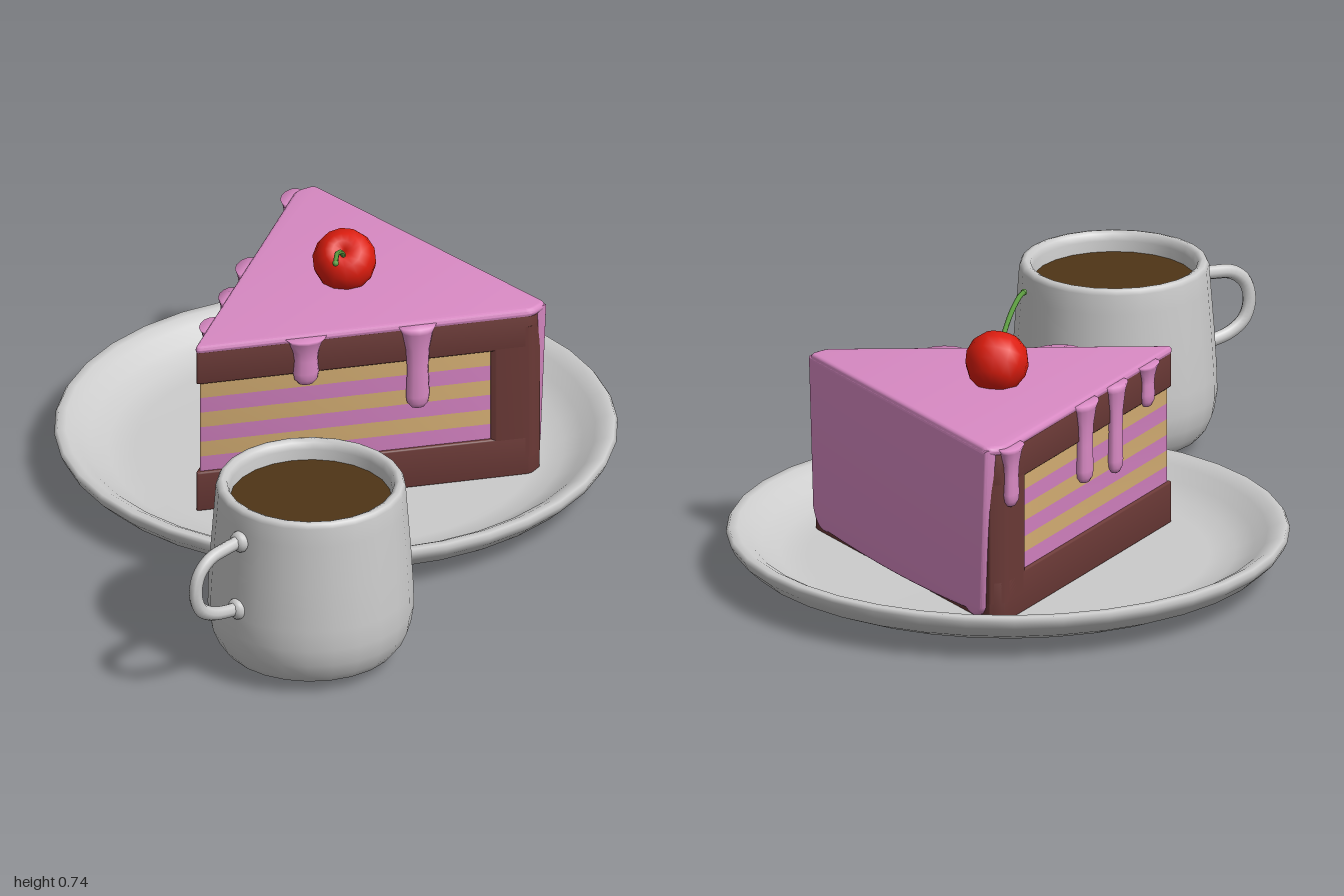
import * as THREE from 'three';
import { toCreasedNormals } from 'three/addons/utils/BufferGeometryUtils.js';

const paint = (color) => new THREE.MeshStandardMaterial({ color });
const china = paint(0xcccccc), icing = paint(0xd98ac4), chocolate = paint(0x6a3936);
const sponge = paint(0xd2ac72), cream = paint(0xcf7fbd), red = paint(0xdd1c0e);
const green = paint(0x5c9c40), coffee = paint(0x4f3517);

const CX = -0.128;      // centre line of the cake
const SLOPE = 0.575;    // half width gained per unit of depth
const TIP = 0.287;      // z of the cake's point

function add(parent, name, geometry, material, x = 0, y = 0, z = 0) {
  const mesh = new THREE.Mesh(geometry, material);
  mesh.name = name;
  mesh.position.set(x, y, z);
  parent.add(mesh);
  return mesh;
}

const lathe = (points, sides) =>
  new THREE.LatheGeometry(points.map(([r, y]) => new THREE.Vector2(r, y)), sides);

const curve = (points) =>
  new THREE.CatmullRomCurve3(points.map((p) => new THREE.Vector3(...p)));

// Closed outline with each corner rounded by distance r
function roundedShape(points, r) {
  const shape = new THREE.Shape();
  const pts = points.map(([x, z]) => new THREE.Vector2(x, -z));
  pts.forEach((p, i) => {
    const prev = pts[(i + pts.length - 1) % pts.length], next = pts[(i + 1) % pts.length];
    const a = p.clone().add(prev.clone().sub(p).setLength(r));
    const b = p.clone().add(next.clone().sub(p).setLength(r));
    if (i === 0) shape.moveTo(a.x, a.y); else shape.lineTo(a.x, a.y);
    shape.quadraticCurveTo(p.x, p.y, b.x, b.y);
  });
  shape.closePath();
  return shape;
}

// Flat slab with outline points (x, z), standing between y0 and y1
function slab(points, y0, y1, r, bevel) {
  const geometry = new THREE.ExtrudeGeometry(roundedShape(points, r), {
    depth: y1 - y0 - 2 * bevel, bevelEnabled: bevel > 0, bevelThickness: bevel,
    bevelSize: bevel, bevelOffset: -bevel, bevelSegments: 3, curveSegments: 5,
  });
  geometry.rotateX(-Math.PI / 2).translate(CX, y0 + bevel, 0);
  return toCreasedNormals(geometry, 0.7);
}

// Cake outline, from the tip to the back
function wedge(tip, back, chamfer = 0) {
  const half = (tip - back - chamfer) * SLOPE;
  if (!chamfer) return [[0, tip], [half, back], [-half, back]];
  return [[0, tip], [half, back + chamfer], [half - 0.012, back],
    [-half + 0.012, back], [-half, back + chamfer]];
}

function makePlate(group) {
  const profile = [[0, 0], [0.46, 0.002], [0.56, 0.012], [0.65, 0.032], [0.72, 0.062],
    [0.755, 0.095], [0.766, 0.118], [0.758, 0.13], [0.735, 0.129], [0.705, 0.113],
    [0.67, 0.085], [0.62, 0.06], [0.55, 0.048], [0, 0.045]];
  add(group, 'plate', lathe(profile, 36), china, -0.125, 0, -0.235);
}

function makeCake(group) {
  const cake = new THREE.Group();
  cake.name = 'cake';
  group.add(cake);

  // Chocolate base, lid and back crust
  add(cake, 'chocolateBase', slab(wedge(TIP, -0.575, 0.05), 0.045, 0.165, 0.015, 0.006), chocolate);
  add(cake, 'chocolateLid', slab(wedge(TIP, -0.575, 0.05), 0.435, 0.54, 0.015, 0.006), chocolate);
  const h1 = (TIP + 0.432) * SLOPE, h2 = (TIP + 0.525) * SLOPE;
  const crust = [[h1, -0.432], [h2, -0.525], [h2 - 0.012, -0.575],
    [-h2 + 0.012, -0.575], [-h2, -0.525], [-h1, -0.432]];
  add(cake, 'chocolateBack', slab(crust, 0.1, 0.5, 0.012, 0), chocolate);

  // Alternating cream and sponge layers
  for (let i = 0; i < 6; i++) {
    const y = 0.165 + i * 0.045;
    add(cake, i % 2 ? 'spongeLayer' : 'creamLayer',
      slab(wedge(TIP - 0.016, -0.44), y, y + 0.045, 0.008, 0), i % 2 ? sponge : cream);
  }

  // Icing over the top and down the back
  add(cake, 'icingTop', slab(wedge(TIP + 0.004, -0.59, 0.06), 0.527, 0.553, 0.02, 0.012), icing);
  const back = new THREE.Shape();
  back.moveTo(-0.43, 0.09);
  back.quadraticCurveTo(-0.41, 0.05, -0.36, 0.075);
  back.quadraticCurveTo(0, 0.05, 0.36, 0.075);
  back.quadraticCurveTo(0.41, 0.06, 0.43, 0.12);
  back.lineTo(0.452, 0.535);
  back.lineTo(-0.452, 0.535);
  back.closePath();
  const sheet = new THREE.ExtrudeGeometry(back, {
    depth: 0.02, bevelThickness: 0.01, bevelSize: 0.01, bevelSegments: 3, curveSegments: 8,
  });
  add(cake, 'icingBack', toCreasedNormals(sheet, 0.7), icing, CX, 0, -0.582);

  // Drips: side, z along the cut face, lowest y, radius
  const drips = [[1, 0.02, 0.4, 0.036], [1, -0.25, 0.29, 0.033], [-1, 0.16, 0.42, 0.03],
    [-1, 0.005, 0.285, 0.03], [-1, -0.145, 0.31, 0.034], [-1, -0.505, 0.37, 0.032]];
  for (const [side, z, low, r] of drips) {
    const len = 0.545 - low;
    const profile = [[0, 0], [0.55 * r, 0.006], [0.9 * r, 0.02], [r, 0.04],
      [0.9 * r, 0.4 * len + 0.02], [r, 0.72 * len], [1.3 * r, 0.92 * len], [1.6 * r, len], [0, len]];
    const drip = add(cake, 'icingDrip', lathe(profile, 12), icing,
      CX + side * ((TIP - z) * SLOPE + 0.002), low, z);
    drip.rotation.y = side * Math.atan2(1, SLOPE);
    drip.scale.z = 0.6;
  }

  // Cherry with a dimple, tilted towards its stem
  const profile = [[0, -0.084], [0.035, -0.078], [0.066, -0.055], [0.084, -0.02], [0.087, 0.012],
    [0.076, 0.047], [0.05, 0.072], [0.028, 0.076], [0.01, 0.066], [0, 0.058]];
  const cherry = add(cake, 'cherry', lathe(profile, 14), red, -0.137, 0.61, -0.278);
  cherry.quaternion.setFromUnitVectors(new THREE.Vector3(0, 1, 0),
    new THREE.Vector3(0.4, 0.7, 0.45).normalize());
  const stem = curve([[-0.115, 0.635, -0.255], [-0.085, 0.67, -0.222], [-0.045, 0.708, -0.175],
    [-0.01, 0.731, -0.13], [0.022, 0.73, -0.095]]);
  add(cake, 'cherryStem', new THREE.TubeGeometry(stem, 16, 0.007, 6), green);
  add(cake, 'stemTip', new THREE.SphereGeometry(0.009, 8, 6), green, 0.022, 0.73, -0.095);
}

function makeMug(group) {
  const mug = new THREE.Group();
  mug.name = 'mug';
  mug.position.set(0.61, 0, 0.55);
  group.add(mug);

  const profile = [[0, 0.03], [0.215, 0.03], [0.236, 0.036], [0.255, 0.06], [0.272, 0.1],
    [0.28, 0.15], [0.279, 0.21], [0.272, 0.33], [0.262, 0.46], [0.258, 0.515], [0.252, 0.527],
    [0.24, 0.53], [0.228, 0.524], [0.222, 0.505], [0.218, 0.44], [0.215, 0.36], [0, 0.36]];
  add(mug, 'cup', lathe(profile, 24), china);
  add(mug, 'coffee', new THREE.CircleGeometry(0.22, 24).rotateX(-Math.PI / 2), coffee, 0, 0.475, 0);

  // Handle on the front of the cup
  const loop = curve([[0, 0.44, 0.25], [0, 0.436, 0.31], [0, 0.425, 0.375], [0, 0.39, 0.416],
    [0, 0.335, 0.429], [0, 0.285, 0.412], [0, 0.255, 0.37], [0, 0.24, 0.31], [0, 0.235, 0.26]]);
  const handle = add(mug, 'handle', new THREE.TubeGeometry(loop, 32, 0.02, 8), china);
  handle.scale.x = 0.8;
  for (const [y, z] of [[0.438, 0.266], [0.235, 0.276]]) {
    add(mug, 'handleJoint', new THREE.SphereGeometry(0.03, 12, 8), china, 0, y, z).scale.z = 0.7;
  }
}

export function createModel() {
  const group = new THREE.Group();
  group.name = 'cakeAndCoffee';
  makePlate(group);
  makeCake(group);
  makeMug(group);
  return group;
}
